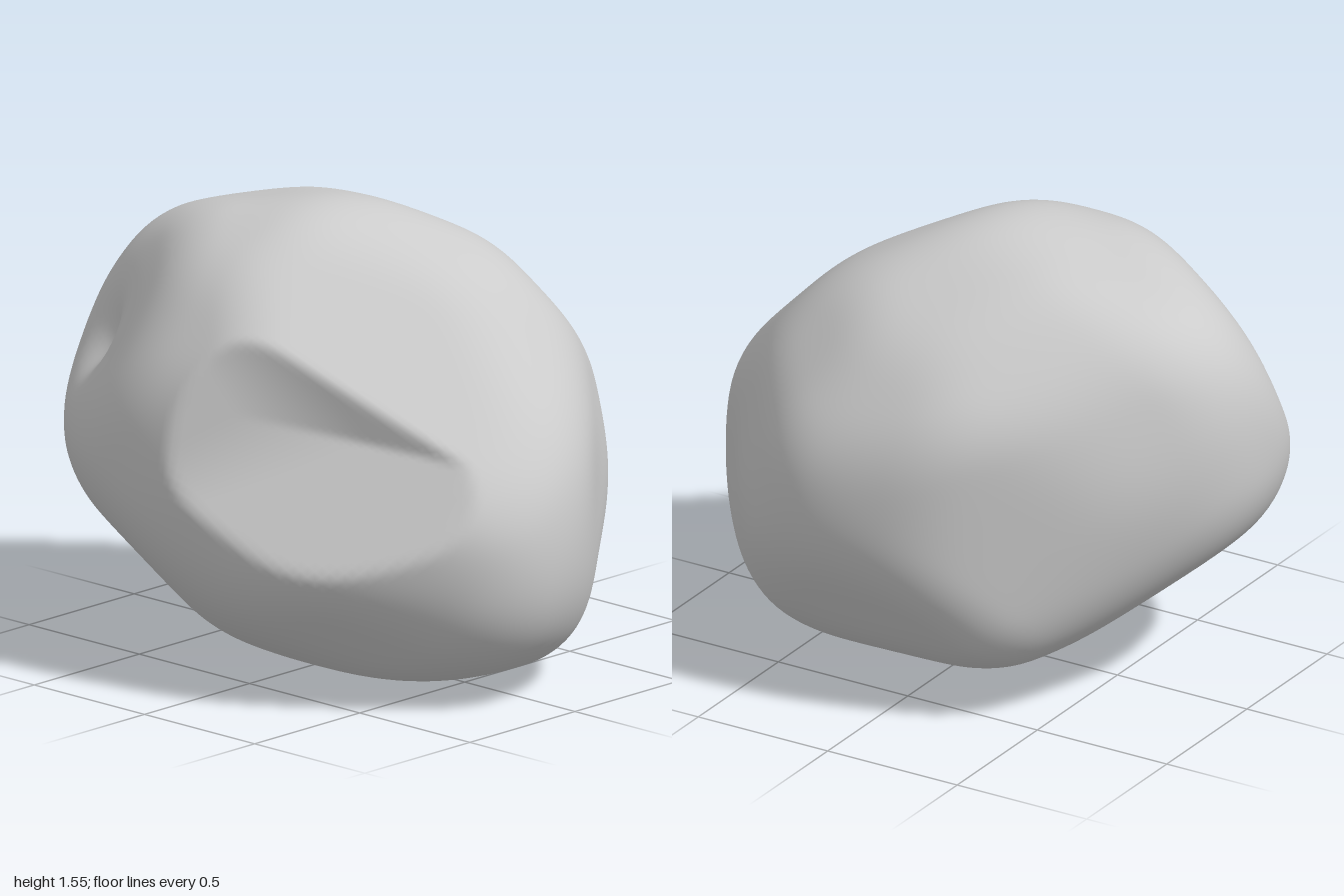
import * as THREE from 'three';
import { mergeVertices } from 'three/addons/utils/BufferGeometryUtils.js';

const MID = 0.785; // height of the boulder's centre
const V = (x, y, z) => new THREE.Vector3(x, y, z);
const rad = THREE.MathUtils.degToRad;
const cut = (x, y, z, h) => ({ n: V(x, y, z).normalize(), h });

// Rings of flat cuts around the boulder. Each ring lies in a plane turned by
// az and el (degrees); reach holds the distances at evenly spaced angles.
const rings = [
  { az: 0, el: 0, start: 0, reach: [1, .866, .72, .732, .785, .9, 1.007, 1.025, 1, .96, .802, .752, .785, .918, 1.043, 1.066] },
  { az: 90, el: 0, start: 11.25, reach: [.794, .751, .747, .77, .797, .791, .757, .778, .812, .837, .825, .791, .776, .8, .777, .807] },
  { az: 0, el: 90, start: 11.25, reach: [.961, .848, .841, .833, .775, .738, .856, .981, 1.024, 1.026, .916, .823, .775, .832, .945, 1] },
  { az: 38, el: 23, start: 15, reach: [.786, .742, .752, .879, .997, 1.014, .957, .792, .8, .935, 1.032, .929] },
  { az: 218, el: 23, start: 15, reach: [.993, .919, .774, .7, .749, .83, .869, .891, .785, .754, .855, .977] },
  { az: 138, el: -23, start: 15, reach: [.786, .764, .73, .718, .728, .872, .893, .841, .793, .739, .813, .816] },
];

// Larger single faces
const cuts = [
  cut(.58, .68, .45, .63),    // broad flat face, upper front
  cut(-.49, .49, .72, .81),   // facet on the front shoulder
  cut(-.63, -.776, 0, .745),  // slope under the overhang
  cut(.106, -.994, 0, .784),  // underside
];

for (const { az, el, start, reach } of rings) {
  const turn = new THREE.Euler(-rad(el), rad(az), 0, 'YXZ');
  reach.forEach((h, i) => {
    const t = rad(start + 360 * i / reach.length);
    cuts.push({ n: V(Math.cos(t), Math.sin(t), 0).applyEuler(turn), h });
  });
}

// Intersection of all the cuts, as a radius along direction d
function hullRadius(d) {
  const sharpness = 50;
  let sum = 0;
  for (const { n, h } of cuts) sum += Math.max(n.dot(d) / (h * 1.008), 0) ** sharpness;
  return sum ** (-1 / sharpness);
}

// Worn corners: the hull averaged over a small cone around d
function bodyRadius(d) {
  const samples = 8, spread = .13;
  const a = V(d.y, d.z, -d.x).cross(d).normalize();
  const b = a.clone().cross(d);
  let sum = hullRadius(d);
  for (let i = 0; i < samples; i++) {
    const t = 2 * Math.PI * i / samples;
    sum += hullRadius(d.clone().addScaledVector(a, spread * Math.cos(t)).addScaledVector(b, spread * Math.sin(t)).normalize());
  }
  return sum / (samples + 1);
}

function softMin(a, b, k) {
  const h = Math.max(k - Math.abs(a - b), 0) / k;
  return Math.min(a, b) - h * h * k / 4;
}

// Gouge across the front: floor, back wall and end wall
const gouge = [cut(.378, .49, .785, .565), cut(.36, -.1, .92, .547), cut(.6, .12, .79, .57)];
function gougeRadius(d) {
  const [floor, back, end] = gouge.map(({ n, h }) => h / Math.max(n.dot(d), .01));
  return -softMin(-Math.max(floor, back), -end, .06);
}

// Soft dents: centre, width, depth
const dents = [
  { c: V(-.77, .26, .46), w: .14, depth: .08 },   // shoulder pit
  { c: V(-.45, .72, .05), w: .26, depth: .06 },   // saddle on top
  { c: V(.76, -.165, -.4), w: .22, depth: .02 },  // hollow at the back right
];

export function createModel() {
  let geo = new THREE.IcosahedronGeometry(1, 36);
  geo.deleteAttribute('normal');
  geo.deleteAttribute('uv');
  geo = mergeVertices(geo, 1e-5);

  // Push every point of the sphere out to the carved surface
  const pos = geo.attributes.position;
  const p = V(), d = V();
  for (let i = 0; i < pos.count; i++) {
    d.fromBufferAttribute(pos, i).normalize();
    const body = bodyRadius(d);
    p.copy(d).multiplyScalar(body);
    let r = softMin(body, gougeRadius(d), .012);
    for (const { c, w, depth } of dents) r -= depth * Math.exp(-p.distanceToSquared(c) / (w * w));
    p.copy(d).multiplyScalar(r);
    pos.setXYZ(i, p.x, p.y + MID, p.z);
  }
  geo.computeVertexNormals();

  const boulder = new THREE.Mesh(geo, new THREE.MeshStandardMaterial({ color: 0xcccccc }));
  boulder.name = 'boulder';
  const group = new THREE.Group();
  group.name = 'rock';
  group.add(boulder);
  return group;
}
